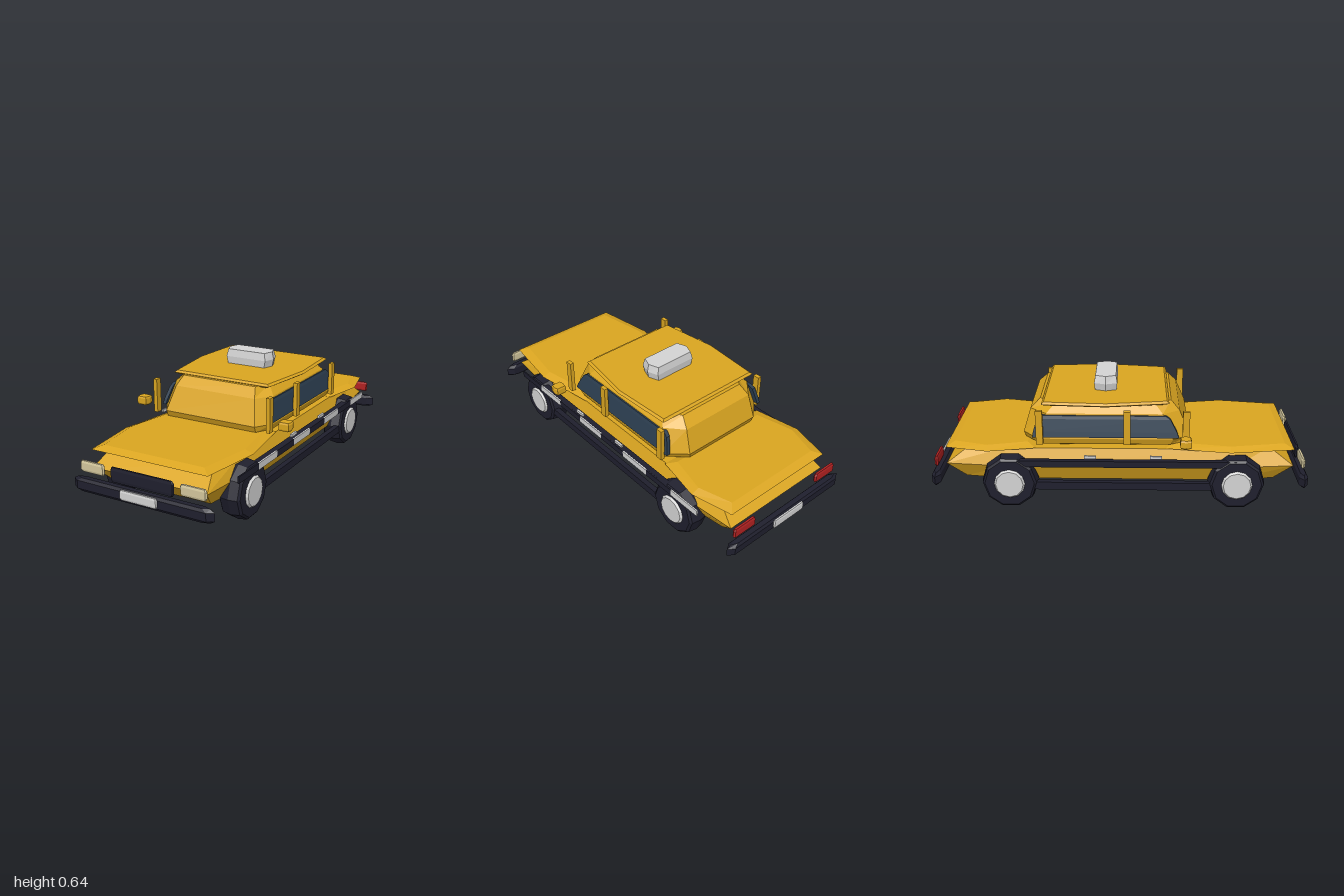
import * as THREE from 'three';

const mat = (name, color, side = THREE.FrontSide) => {
  const m = new THREE.MeshStandardMaterial({ color, flatShading: true, side });
  m.name = name;
  return m;
};

// Mirrors right-hand [x, z] points (listed front to back) into a closed outline at height y
const ring = (y, pts) => [
  ...pts.map(([x, z]) => [x, y, z]),
  ...pts.slice().reverse().map(([x, z]) => [-x, y, z]),
];

// Skins equal-length rings from bottom to top and caps both ends
function loft(rings) {
  const pos = [];
  const n = rings[0].length;
  const tri = (a, b, c) => pos.push(...a, ...b, ...c);
  for (let r = 0; r < rings.length - 1; r++) {
    for (let i = 0; i < n; i++) {
      const j = (i + 1) % n, lo = rings[r], hi = rings[r + 1];
      tri(lo[i], lo[j], hi[j]);
      tri(lo[i], hi[j], hi[i]);
    }
  }
  const bottom = rings[0], top = rings[rings.length - 1];
  for (let i = 1; i < n - 1; i++) {
    tri(bottom[0], bottom[i + 1], bottom[i]);
    tri(top[0], top[i], top[i + 1]);
  }
  const g = new THREE.BufferGeometry();
  g.setAttribute('position', new THREE.Float32BufferAttribute(pos, 3));
  g.computeVertexNormals();
  return g;
}

// Box with pointed ends along x and slightly chamfered top and bottom
function taperedBar(w, h, d, tip, bevel) {
  const plan = (y, e) => {
    const x = w / 2 - e, z = d / 2 - Math.min(e, d * 0.2);
    return ring(y, [[x - tip, z], [x, 0], [x - tip, -z]]);
  };
  return loft([plan(-h / 2, bevel), plan(-h * 0.3, 0), plan(h * 0.3, 0), plan(h / 2, bevel)]);
}

export function createModel() {
  const yellow = mat('yellow paint', 0xdaa520);
  const dark = mat('dark rubber', 0x1f1f2d);
  const pale = mat('pale grey', 0xd3d3d3);
  const cream = mat('cream lamp', 0xd2c69c);
  const red = mat('red lamp', 0xb22222);
  const glass = mat('window glass', 0x2c3e50);
  const car = new THREE.Group();
  car.name = 'car';

  const add = (name, geo, material, x = 0, y = 0, z = 0) => {
    const m = new THREE.Mesh(geo, material);
    m.name = name;
    m.position.set(x, y, z);
    car.add(m);
    return m;
  };
  const box = (name, material, w, h, d, x, y, z) =>
    add(name, new THREE.BoxGeometry(w, h, d), material, x, y, z);

  // Lower body with a ridge round its middle
  const bodyRing = (y, end, xe, xm) => ring(y, [[xe, end], [xm, 0.6], [xm, -0.6], [xe, -end]]);
  add('lowerBody', loft([
    bodyRing(0.145, 0.82, 0.29, 0.32),
    bodyRing(0.235, 0.915, 0.33, 0.36),
    bodyRing(0.325, 0.79, 0.29, 0.325),
  ]), yellow);

  // Bonnet and boot lids
  const lid = (name, z0, zm, z1) => {
    const lidRing = (y, e) => ring(y, [[0.335 - e, z0 - e], [0.382 - e, zm], [0.33 - e, z1 + e]]);
    add(name, loft([lidRing(0.308, 0.05), lidRing(0.328, 0), lidRing(0.346, 0.045)]), yellow);
  };
  lid('bonnet', 0.915, 0.58, 0.24);
  lid('bootLid', -0.44, -0.69, -0.915);

  // Cabin
  const cabinRing = (y, x, xf, xr, zf, zr) =>
    ring(y, [[xf, zf], [x, zf - 0.09], [x, zr + 0.09], [xr, zr]]);
  add('cabin', loft([
    cabinRing(0.32, 0.26, 0.22, 0.2, 0.28, -0.44),
    cabinRing(0.347, 0.318, 0.27, 0.22, 0.355, -0.5),
    cabinRing(0.38, 0.33, 0.27, 0.23, 0.37, -0.512),
    cabinRing(0.51, 0.3, 0.24, 0.22, 0.315, -0.472),
    cabinRing(0.56, 0.255, 0.22, 0.2, 0.27, -0.42),
  ]), yellow);

  // Roof plate with chamfered rim
  const roofRing = (y, e) =>
    ring(y, [[0.29 - e, 0.258 - e], [0.335 - e, -0.07], [0.315 - e, -0.405 + e]]);
  add('roof', loft([roofRing(0.552, 0.02), roofRing(0.564, 0), roofRing(0.575, 0.012)]), yellow);

  // Roof sign
  const signRing = (y, x, z) =>
    ring(y, [[x - 0.02, z], [x, 0], [x - 0.02, -z]]);
  add('roofSign', loft([
    signRing(0.572, 0.133, 0.058), signRing(0.615, 0.142, 0.062), signRing(0.656, 0.133, 0.055),
  ]), pale, 0, 0, -0.077);

  // Bumpers, number plates, grille and lamps
  for (const s of [1, -1]) {
    const end = s > 0 ? 'front' : 'rear';
    add(end + 'Bumper', taperedBar(0.81, 0.07, 0.046, 0.035, 0.025), dark, 0, 0.165, s * 0.967);
    add(end + 'Plate', taperedBar(0.214, 0.05, 0.014, 0.004, 0.005), pale, 0, 0.171, s * 0.993);
    for (const x of [-1, 1]) {
      const lamp = taperedBar(0.144, 0.056, 0.018, 0.006, 0.006);
      add(s > 0 ? 'headlight' : 'tailLight', lamp, s > 0 ? cream : red, x * 0.29, 0.258, s * 0.962);
    }
  }
  add('grille', taperedBar(0.365, 0.076, 0.016, 0.006, 0.008), dark, 0, 0.248, 0.96);

  // Barrel-shaped ten-sided tyre and hub profiles
  const lathe = (pts) => new THREE.LatheGeometry(pts.map(([r, y]) => new THREE.Vector2(r, y)), 10);
  const tyre = lathe([[0, -0.057], [0.13, -0.057], [0.142, -0.047], [0.15, 0], [0.142, 0.047], [0.13, 0.057], [0, 0.057]]);
  const hub = new THREE.CylinderGeometry(0.072, 0.082, 0.012, 12);

  for (const s of [1, -1]) {
    // Wheels
    for (const z of [0.615, -0.575]) {
      add('tyre', tyre, dark, s * 0.347, 0.155, z).rotation.z = -s * Math.PI / 2;
      add('hub', hub, pale, s * 0.409, 0.153, z).rotation.z = -s * Math.PI / 2;
    }

    // Sill, side strip and door handles
    box('sill', dark, 0.03, 0.042, 0.96, s * 0.38, 0.138, 0.01);
    box('sideStrip', dark, 0.03, 0.035, 1.2, s * 0.385, 0.266, 0.01);
    for (const z of [0.19, -0.15]) {
      box('doorHandle', pale, 0.012, 0.015, 0.06, s * 0.404, 0.311, z);
    }

    // Side window, leaning inward with the cabin
    const pane = (y, x, zf, zr) => {
      const p = [[x, y, zf], [x, y, zr], [x - 0.02, y, zr], [x - 0.02, y, zf]];
      return s > 0 ? p : p.map(([a, b, c]) => [-a, b, c]).reverse();
    };
    add('sideWindow', loft([
      pane(0.39, 0.336, 0.31, -0.455), pane(0.42, 0.33, 0.3, -0.45),
      pane(0.485, 0.316, 0.265, -0.43), pane(0.502, 0.31, 0.24, -0.405),
    ]), glass);

    // Door pillars and mirrors
    for (const z of [0.345, 0.04, -0.415]) {
      box('pillar', yellow, 0.022, 0.184, 0.036, s * 0.344, 0.45, z);
    }
    add('mirror', taperedBar(0.068, 0.045, 0.058, 0.006, 0.004), yellow, s * 0.434, 0.408, 0.34);
  }

  // Chequered band along one side
  for (let i = 0; i < 8; i++) {
    box('chequer', i % 2 ? pale : dark, 0.008, 0.035, 0.19, 0.405, 0.267, 0.667 - i * 0.19);
  }

  return car;
}
